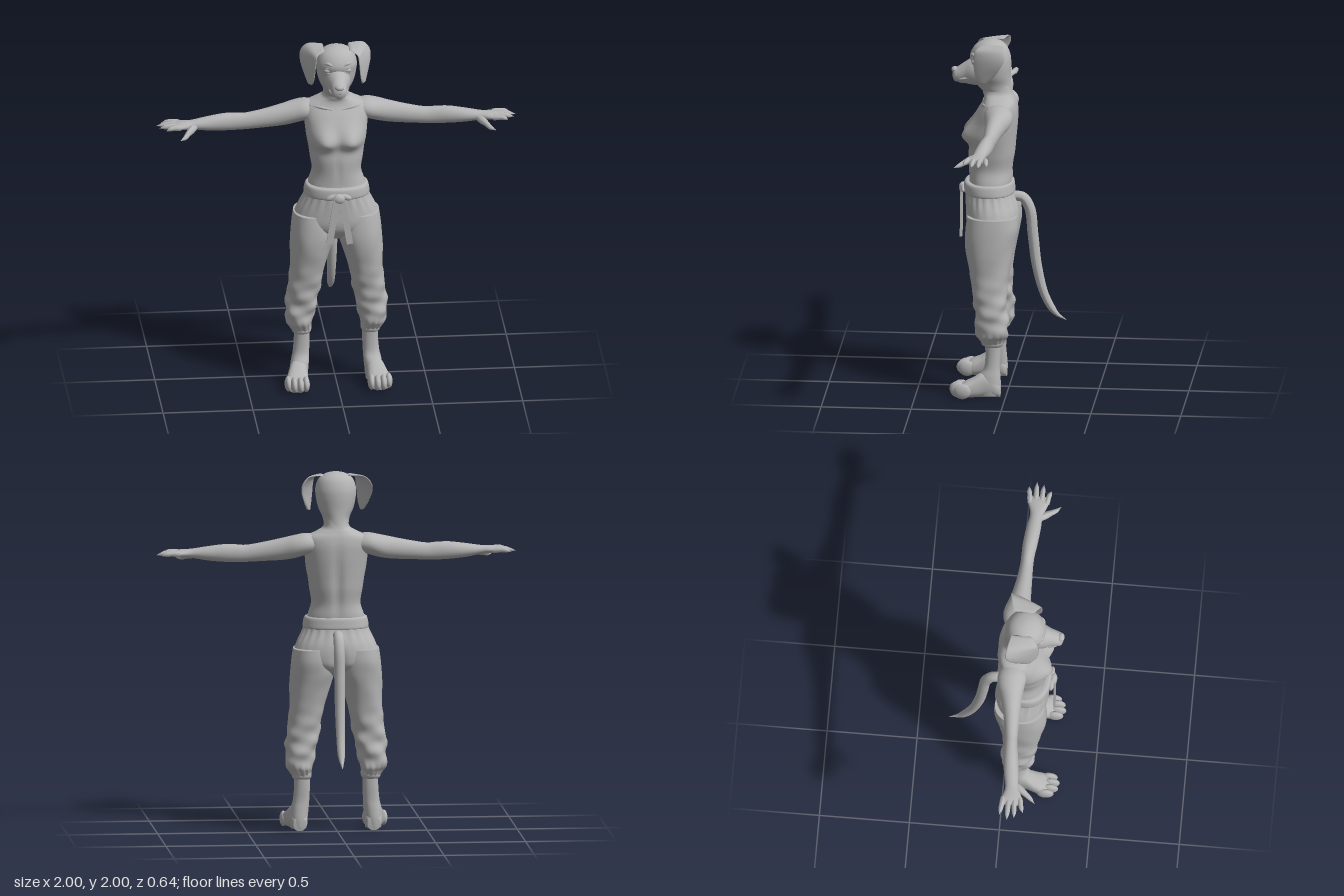
import * as THREE from 'three';

const V = (x, y, z) => new THREE.Vector3(x, y, z);
const gauss = (d, s) => Math.exp(-(d * d) / (s * s));

// Catmull-Rom interpolation of rows of numbers
function sample(rows, t) {
  const f = t * (rows.length - 1), i = Math.min(Math.floor(f), rows.length - 2), u = f - i;
  const at = (k) => rows[Math.max(0, Math.min(rows.length - 1, k))];
  return rows[0].map((_, c) => {
    const a = at(i - 1)[c], b = at(i)[c], d = at(i + 1)[c], e = at(i + 2)[c];
    return b + 0.5 * u * (d - a + u * (2 * a - 5 * b + 4 * d - e + u * (3 * (b - d) + e - a)));
  });
}

// Closed skin through cross-sections; place(row, angle) gives a point on a section
function loft(rows, place, sides = 32, per = 5) {
  const n = (rows.length - 1) * per, pos = [], idx = [];
  for (let i = 0; i <= n; i++) {
    const row = sample(rows, i / n);
    for (let j = 0; j < sides; j++) pos.push(...place(row, (j / sides) * Math.PI * 2).toArray());
  }
  for (let i = 0; i < n; i++) for (let j = 0; j < sides; j++) {
    const a = i * sides + j, b = i * sides + ((j + 1) % sides);
    idx.push(a, b, b + sides, a, b + sides, a + sides);
  }
  for (const [r, flip] of [[0, true], [n, false]]) {
    const c = V(0, 0, 0), k = pos.length / 3;
    for (let j = 0; j < sides; j++) c.add(V().fromArray(pos, (r * sides + j) * 3));
    pos.push(...c.divideScalar(sides).toArray());
    for (let j = 0; j < sides; j++) {
      const a = r * sides + j, b = r * sides + ((j + 1) % sides);
      idx.push(...(flip ? [k, b, a] : [k, a, b]));
    }
  }
  // turn the skin outward if its signed volume is negative
  let vol = 0;
  const p = (i) => V().fromArray(pos, i * 3);
  for (let i = 0; i < idx.length; i += 3) vol += p(idx[i]).dot(p(idx[i + 1]).cross(p(idx[i + 2])));
  if (vol < 0) idx.reverse();
  const g = new THREE.BufferGeometry();
  g.setAttribute('position', new THREE.Float32BufferAttribute(pos, 3));
  g.setIndex(idx);
  g.computeVertexNormals();
  return g;
}

// Tube whose radius follows a list along its path
function taper(points, radii, seg = 20, sides = 10) {
  const curve = new THREE.CatmullRomCurve3(points.map((q) => V(...q)));
  const g = new THREE.TubeGeometry(curve, seg, 1, sides), a = g.attributes.position, v = V();
  for (let i = 0; i <= seg; i++) {
    const c = curve.getPointAt(i / seg), r = sample(radii.map((x) => [x]), i / seg)[0];
    for (let j = 0; j <= sides; j++) {
      const k = i * (sides + 1) + j;
      v.fromBufferAttribute(a, k).sub(c).multiplyScalar(r).add(c);
      a.setXYZ(k, v.x, v.y, v.z);
    }
  }
  g.computeVertexNormals();
  return g;
}

const power = (v, e) => Math.sign(v) * Math.abs(v) ** e;
// horizontal section: [y, half width, front z, back z]
const section = ([y, w, zf, zb], t, e = 0.9) =>
  V(w * power(Math.cos(t), e), y, (zf + zb) / 2 + ((zf - zb) / 2) * power(Math.sin(t), e));

export function createModel() {
  const model = new THREE.Group();
  const grey = new THREE.MeshStandardMaterial({ color: 0xb4b4b4 });
  grey.name = 'grey';
  const add = (name, geo) => {
    const m = new THREE.Mesh(geo, grey);
    m.name = name;
    model.add(m);
    return m;
  };
  const ball = (name, p, r) => {
    const m = add(name, new THREE.SphereGeometry(1, 20, 14));
    m.position.set(...p);
    m.scale.set(...r);
    return m;
  };

  // Torso with bust, midline and spine furrow
  add('torso', loft([
    [1.14, 0.168, 0.225, -0.01], [1.2, 0.157, 0.22, -0.02], [1.27, 0.137, 0.222, -0.022],
    [1.35, 0.148, 0.225, -0.035], [1.41, 0.156, 0.218, -0.04], [1.47, 0.167, 0.222, -0.045],
    [1.54, 0.175, 0.2, -0.05], [1.6, 0.183, 0.172, -0.05], [1.645, 0.172, 0.145, -0.042],
    [1.675, 0.112, 0.138, -0.03], [1.7, 0.073, 0.145, -0.02], [1.75, 0.068, 0.15, -0.008],
    [1.82, 0.068, 0.15, 0]], (row, t) => {
    const p = section(row, t), x = Math.abs(p.x);
    if (Math.sin(t) > 0) {
      p.z += 0.045 * gauss(x - 0.078, 0.062) * gauss(p.y - 1.46, p.y < 1.46 ? 0.045 : 0.075);
      p.z -= 0.006 * gauss(x, 0.014) * gauss(p.y - 1.3, 0.08);
    } else p.z += 0.014 * gauss(x, 0.025) * gauss(p.y - 1.38, 0.2);
    return p;
  }, 64, 6));

  // Head
  add('head', loft([
    [1.7, 0.066, 0.14, -0.018], [1.75, 0.076, 0.185, -0.012], [1.8, 0.098, 0.2, -0.01],
    [1.86, 0.111, 0.208, -0.012], [1.91, 0.113, 0.217, -0.008], [1.96, 0.095, 0.193, 0.012],
    [1.988, 0.06, 0.155, 0.045], [2, 0.015, 0.115, 0.085]], (r, t) => section(r, t, 1), 40));
  add('muzzle', loft([
    [0.13, 1.82, 0.08, 0.085], [0.2, 1.815, 0.067, 0.078], [0.245, 1.806, 0.05, 0.061],
    [0.28, 1.796, 0.042, 0.046], [0.303, 1.792, 0.034, 0.035], [0.314, 1.793, 0.012, 0.014]],
  ([z, cy, rx, ry], t) => V(rx * Math.cos(t), cy + ry * Math.sin(t), z)));
  ball('nose', [0, 1.822, 0.301], [0.025, 0.017, 0.02]);
  ball('chin', [0, 1.763, 0.262], [0.028, 0.018, 0.026]);

  // Pants seat
  add('pantsSeat', loft([
    [1.18, 0.168, 0.23, -0.02], [1.12, 0.182, 0.236, -0.032], [1.04, 0.222, 0.238, -0.06],
    [0.97, 0.24, 0.235, -0.064], [0.92, 0.2, 0.215, -0.05], [0.87, 0.08, 0.16, 0.01]], (row, t) => {
    const p = section(row, t);
    const pleat = 0.004 * Math.sin(t * 22) * gauss(row[0] - 1.11, 0.06);
    p.x += pleat * Math.cos(t);
    p.z += pleat * Math.sin(t);
    if (Math.sin(t) < 0) p.z += 0.025 * gauss(p.x, 0.03) * gauss(row[0] - 0.95, 0.09);
    return p;
  }, 80, 6));

  // Sash: wrapped band, knot and two hanging ends
  add('sashBand', loft([
    [1.128, 0.172, 0.235, -0.02], [1.133, 0.183, 0.248, -0.034], [1.16, 0.181, 0.25, -0.032],
    [1.188, 0.174, 0.246, -0.028], [1.195, 0.162, 0.232, -0.018]], (r, t) => section(r, t), 48, 3));
  ball('sashKnot', [0, 1.143, 0.258], [0.034, 0.03, 0.022]);
  for (const [x0, x1, y1, z] of [[-0.012, -0.052, 0.885, 0.268], [0.015, 0.062, 0.875, 0.262]]) {
    const end = add('sashEnd', new THREE.BoxGeometry(0.036, 1.15 - y1, 0.012));
    end.position.set((x0 + x1) / 2, (1.15 + y1) / 2, z);
    end.rotation.z = Math.atan2(x1 - x0, 1.15 - y1);
  }
  for (const s of [-1, 1]) {
    const loop = ball('sashLoop', [s * 0.04, 1.15, 0.25], [0.034, 0.016, 0.014]);
    loop.rotation.z = -s * 0.35;
  }

  // Tail
  add('tail', taper([[0, 1.1, -0.02], [0, 1.095, -0.075], [0, 1.03, -0.115], [0, 0.88, -0.133],
    [0, 0.7, -0.155], [0, 0.53, -0.2], [0, 0.43, -0.26], [0, 0.392, -0.318]],
  [0.028, 0.03, 0.03, 0.03, 0.029, 0.027, 0.024, 0.02, 0.002], 48, 16));

  for (const s of [-1, 1]) {
    const side = s > 0 ? 'left' : 'right';
    const mirror = (pts) => pts.map(([x, y, z]) => [x * s, y, z]);

    // Drooping ear: a thin flap between its front and back edges
    add(side + 'Ear', loft([
      [0.075, 1.982, 0.15, 0.075, 1.985, 0.03], [0.112, 1.962, 0.178, 0.15, 1.983, 0.012],
      [0.12, 1.92, 0.187, 0.19, 1.945, 0.006], [0.125, 1.865, 0.185, 0.196, 1.895, 0.028],
      [0.132, 1.815, 0.175, 0.177, 1.83, 0.07], [0.142, 1.785, 0.15, 0.158, 1.786, 0.11]],
    (r, t) => {
      const u = 0.5 - 0.5 * Math.cos(t), d = 0.009 * Math.sin(t);
      return V(s * (r[0] + (r[3] - r[0]) * u + d), r[1] + (r[4] - r[1]) * u + d * 0.4,
        r[2] + (r[5] - r[2]) * u + d * 0.4);
    }, 20));

    // Eye, lids, brow and mouth
    ball(side + 'Eye', [s * 0.054, 1.884, 0.192], [0.022, 0.013, 0.014]);
    add(side + 'UpperLid', taper(mirror([[0.028, 1.88, 0.202], [0.054, 1.899, 0.2], [0.08, 1.888, 0.178]]), [0.003, 0.005, 0.003]));
    add(side + 'LowerLid', taper(mirror([[0.028, 1.88, 0.202], [0.054, 1.87, 0.198], [0.08, 1.886, 0.178]]), [0.002, 0.004, 0.002]));
    add(side + 'Brow', taper(mirror([[0.018, 1.908, 0.21], [0.052, 1.925, 0.198], [0.085, 1.914, 0.17]]), [0.004, 0.009, 0.002]));
    add(side + 'Lip', taper(mirror([[0, 1.795, 0.312], [0.016, 1.775, 0.298], [0.04, 1.778, 0.262], [0.056, 1.79, 0.215]]), [0.006, 0.008, 0.007, 0.002]));

    // Collarbone
    add(side + 'Collarbone', taper(mirror([[0.02, 1.63, 0.15], [0.08, 1.642, 0.137], [0.15, 1.645, 0.1]]), [0.004, 0.009, 0.004]));

    // Arm from shoulder to palm
    add(side + 'Arm', loft([
      [0.1, 1.605, 0.05, 0.05, 0.06], [0.17, 1.605, 0.06, 0.045, 0.08], [0.23, 1.592, 0.064, 0.042, 0.074],
      [0.3, 1.578, 0.062, 0.05, 0.058], [0.4, 1.564, 0.054, 0.06, 0.045], [0.5, 1.553, 0.048, 0.066, 0.037],
      [0.56, 1.554, 0.05, 0.069, 0.037], [0.63, 1.555, 0.049, 0.075, 0.041], [0.72, 1.553, 0.039, 0.085, 0.041],
      [0.8, 1.553, 0.026, 0.095, 0.036], [0.84, 1.553, 0.023, 0.1, 0.046], [0.88, 1.553, 0.019, 0.1, 0.06],
      [0.91, 1.552, 0.012, 0.1, 0.056]],
    ([x, cy, ry, cz, rz], t) => V(s * x, cy + ry * Math.sin(t), cz + rz * Math.cos(t)), 28, 4));

    // Fingers and thumb with pointed tips
    for (const [z0, x1, z1] of [[0.055, 0.97, 0.04], [0.085, 0.998, 0.083], [0.115, 0.985, 0.122], [0.145, 0.95, 0.168]])
      add(side + 'Finger', taper(mirror([[0.87, 1.553, z0], [0.92, 1.556, (z0 + z1) / 2], [x1, 1.547, z1]]),
        [0.016, 0.016, 0.014, 0.012, 0.001], 14));
    add(side + 'Thumb', taper(mirror([[0.79, 1.545, 0.115], [0.825, 1.53, 0.165], [0.85, 1.515, 0.2], [0.878, 1.51, 0.228]]),
      [0.02, 0.021, 0.016, 0.012, 0.001], 16));

    // Baggy trouser leg with folds gathering toward the cuff
    add(side + 'TrouserLeg', loft([
      [1.02, 0.13, 0.108, 0.22, -0.055], [0.95, 0.13, 0.118, 0.23, -0.06], [0.88, 0.132, 0.122, 0.233, -0.048],
      [0.8, 0.145, 0.112, 0.224, -0.03], [0.7, 0.16, 0.097, 0.205, -0.014], [0.6, 0.175, 0.092, 0.19, -0.005],
      [0.5, 0.19, 0.089, 0.175, -0.005], [0.42, 0.2, 0.081, 0.172, -0.012], [0.36, 0.205, 0.074, 0.163, -0.012],
      [0.33, 0.199, 0.06, 0.15, 0], [0.3, 0.192, 0.05, 0.132, 0.016]], ([y, cx, w, zf, zb], t) => {
      const low = gauss(y - 0.46, 0.16);
      const k = 1 + low * (0.06 * Math.sin(3 * t + y * 42) + 0.035 * Math.sin(2 * t - y * 75))
        + 0.05 * Math.sin(14 * t) * gauss(y - 0.335, 0.03) + 0.012 * Math.sin(4 * t + y * 25) * gauss(y - 0.8, 0.12);
      const p = section([y, w * k, zf, zb], t);
      const mid = (zf + zb) / 2;
      return V(s * (cx + p.x), y, mid + (p.z - mid) * k);
    }, 56, 7));
    add(side + 'Cuff', loft([
      [0.335, 0.046, 0.13, 0.02], [0.325, 0.055, 0.138, 0.01], [0.3, 0.054, 0.136, 0.012], [0.288, 0.046, 0.12, 0.024]],
    (r, t) => section(r, t).add(V(0.192, 0, 0)).multiply(V(s, 1, 1)), 32, 3));

    // Ankle, foot and toes
    add(side + 'Ankle', loft([
      [0.34, 0.19, 0.044, 0.12, 0.028], [0.25, 0.19, 0.044, 0.115, 0.03], [0.17, 0.195, 0.046, 0.12, 0.034],
      [0.12, 0.202, 0.05, 0.15, 0.03], [0.06, 0.208, 0.05, 0.17, 0.026], [0.01, 0.208, 0.044, 0.16, 0.03]],
    ([y, cx, ...r], t) => section([y, ...r], t).add(V(cx, 0, 0)).multiply(V(s, 1, 1)), 28));
    add(side + 'Foot', loft([
      [0.03, 0.206, 0.034, 0.07], [0.06, 0.207, 0.047, 0.11], [0.12, 0.212, 0.05, 0.14],
      [0.18, 0.222, 0.058, 0.11], [0.23, 0.229, 0.064, 0.085], [0.265, 0.231, 0.05, 0.06]],
    ([z, cx, w, h], t) => V(s * (cx + w * power(Math.cos(t), 0.8)), h / 2 * (1 + power(Math.sin(t), 0.8)), z), 28));
    for (const [x, z] of [[0.182, 0.25], [0.214, 0.264], [0.248, 0.258], [0.279, 0.235]])
      ball(side + 'Toe', [s * x, 0.043, z], [0.021, 0.043, 0.048]);
  }
  return model;
}
